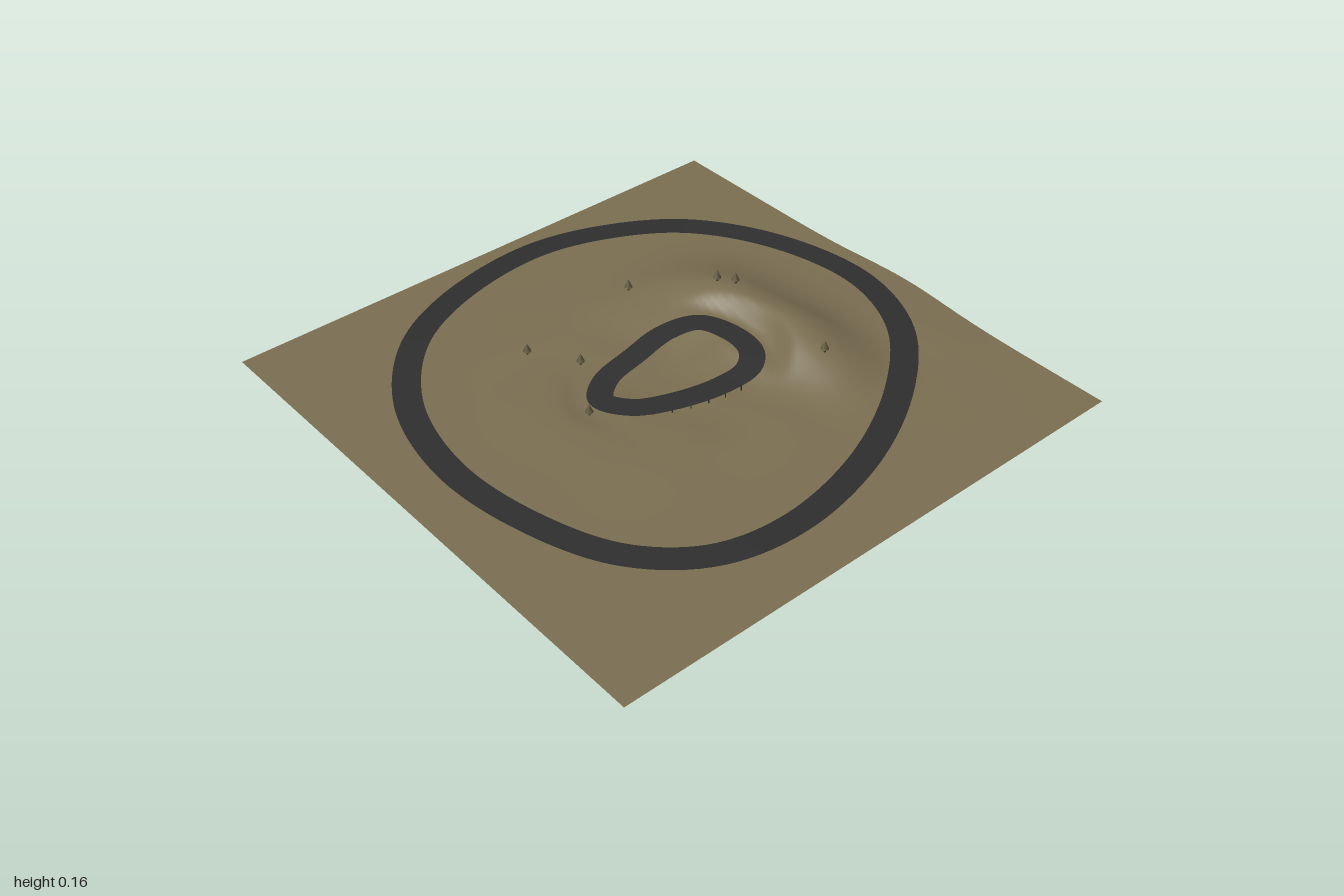
import * as THREE from 'three';

const mat = (name, color, side = THREE.FrontSide) => {
  const m = new THREE.MeshStandardMaterial({ color, side });
  m.name = name;
  return m;
};

// Closed road centre lines, each point is x, y, z
const loop = (pts) => new THREE.CatmullRomCurve3(pts.map((p) => new THREE.Vector3(...p)), true);
const outerLoop = loop([
  [0.08, 0.073, -0.84], [-0.32, 0.1, -0.75], [-0.58, 0.11, -0.6], [-0.76, 0.1, -0.36],
  [-0.83, 0.088, -0.05], [-0.8, 0.1, 0.3], [-0.69, 0.113, 0.6], [-0.5, 0.116, 0.77],
  [-0.24, 0.112, 0.82], [0.12, 0.106, 0.75], [0.48, 0.095, 0.56], [0.74, 0.078, 0.31],
  [0.855, 0.06, 0], [0.8, 0.05, -0.36], [0.63, 0.046, -0.64], [0.38, 0.053, -0.79],
]);
const innerLoop = loop([
  [-0.235, 0.035, -0.06], [-0.19, 0.042, 0.04], [-0.08, 0.052, 0.11], [0.08, 0.06, 0.155],
  [0.2, 0.07, 0.155], [0.265, 0.078, 0.1], [0.28, 0.082, 0], [0.24, 0.078, -0.13],
  [0.13, 0.068, -0.17], [-0.02, 0.052, -0.155], [-0.16, 0.038, -0.13],
]);
const innerSamples = innerLoop.getPoints(90);

// Hills and hollows: x, z, height, spread left, spread right, spread in z
const hills = [
  [0.42, 0.15, 0.11, 0.11, 0.13, 0.17],
  [0.42, -0.2, 0.075, 0.13, 0.12, 0.15],
  [0.42, 0.38, 0.018, 0.1, 0.1, 0.08],
  [0.2, -0.4, 0.028, 0.16, 0.15, 0.1],
  [0.15, 0.02, 0.014, 0.05, 0.08, 0.06],
  [-0.05, -0.06, -0.016, 0.12, 0.12, 0.07],
  [-0.3, 0.3, 0.01, 0.15, 0.15, 0.12],
  [-0.42, -0.1, 0.009, 0.1, 0.12, 0.15],
  [-0.2, -0.42, 0.009, 0.15, 0.15, 0.08],
  [0.1, 0.42, 0.016, 0.14, 0.15, 0.08],
  [0.82, 0.3, 0.012, 0.1, 0.1, 0.16],
];

function groundHeight(x, z) {
  let y = 0.03;
  for (const [cx, cz, h, left, right, sz] of hills) {
    const sx = x < cx ? left : right;
    y += h * Math.exp(-0.5 * (((x - cx) / sx) ** 2 + ((z - cz) / sz) ** 2));
  }
  // Eroded ripples on the high ground
  const r = Math.hypot(x - 0.1, z);
  y += 0.004 * Math.sin(19 * x + 6 * z) * Math.sin(15 * z - 7 * x) * Math.exp(-((r / 0.42) ** 4));
  // Keep the ground below the inner road
  let best = Infinity, roadY = 0;
  for (const p of innerSamples) {
    const d = Math.hypot(p.x - x, p.z - z);
    if (d < best) { best = d; roadY = p.y; }
  }
  const w = 1 - THREE.MathUtils.smoothstep(best, 0.065, 0.14);
  return THREE.MathUtils.lerp(y, Math.min(y, roadY - 0.01), w);
}

function terrainGeometry() {
  const g = new THREE.PlaneGeometry(1.975, 1.97, 110, 110);
  g.rotateX(-Math.PI / 2).translate(-0.0125, 0, -0.005);
  const p = g.attributes.position;
  for (let i = 0; i < p.count; i++) {
    const x = p.getX(i), z = p.getZ(i);
    // Slight outward bulge of the right-hand edge
    const bulge = 0.025 * Math.exp(-(((z - 0.08) / 0.25) ** 2)) * THREE.MathUtils.smoothstep(x, 0.85, 0.975);
    p.setXYZ(i, x + bulge, groundHeight(x, z), z);
  }
  g.computeVertexNormals();
  return g;
}

// Flat ribbon of constant width along a closed curve
function roadGeometry(curve, width, n = 160) {
  const pos = [], index = [];
  for (let i = 0; i <= n; i++) {
    const c = curve.getPointAt((i % n) / n), t = curve.getTangentAt((i % n) / n);
    const side = new THREE.Vector3(t.z, 0, -t.x).normalize().multiplyScalar(width / 2);
    pos.push(c.x - side.x, c.y, c.z - side.z, c.x + side.x, c.y, c.z + side.z);
    const a = 2 * i;
    if (i < n) index.push(a, a + 1, a + 2, a + 1, a + 3, a + 2);
  }
  const g = new THREE.BufferGeometry();
  g.setAttribute('position', new THREE.Float32BufferAttribute(pos, 3));
  g.setIndex(index);
  g.computeVertexNormals();
  // Make the surface face upwards
  if (g.attributes.normal.getY(0) < 0) {
    g.setIndex(index.reverse());
    g.computeVertexNormals();
  }
  return g;
}

export function createModel() {
  const model = new THREE.Group();
  model.name = 'trackLandscape';
  const earth = mat('earth', 0x796d50, THREE.DoubleSide);
  const asphalt = mat('asphalt', 0x2e2e2e, THREE.DoubleSide);
  const foliage = mat('foliage', 0x5a5238);
  const bark = mat('bark', 0x4a3c28);

  const add = (parent, name, geometry, material, x = 0, y = 0, z = 0) => {
    const m = new THREE.Mesh(geometry, material);
    m.name = name;
    m.position.set(x, y, z);
    parent.add(m);
    return m;
  };

  add(model, 'terrain', terrainGeometry(), earth);
  add(model, 'outerRoad', roadGeometry(outerLoop, 0.092), asphalt);
  add(model, 'innerRoad', roadGeometry(innerLoop, 0.086), asphalt);

  // Thin posts under the front of the inner road
  const posts = new THREE.Group();
  posts.name = 'roadPosts';
  model.add(posts);
  for (let i = 0; i < 7; i++) {
    const c = innerLoop.getPointAt(0.07 + i * 0.045);
    add(posts, 'roadPost', new THREE.CylinderGeometry(0.002, 0.002, c.y, 6), asphalt, c.x, c.y / 2 - 0.0005, c.z + 0.03);
  }

  // Small conifers
  const crown = new THREE.ConeGeometry(0.014, 0.03, 10);
  const trunk = new THREE.CylinderGeometry(0.004, 0.004, 0.016, 8);
  const spots = [[-0.27, -0.405], [-0.165, -0.255], [0.2, -0.45], [0.415, -0.235],
    [0.445, -0.175], [-0.305, -0.035], [0.405, 0.295]];
  for (const [x, z] of spots) {
    const tree = new THREE.Group();
    tree.name = 'tree';
    tree.position.set(x, groundHeight(x, z), z);
    add(tree, 'trunk', trunk, bark, 0, 0.006, 0);
    add(tree, 'crown', crown, foliage, 0, 0.028, 0);
    model.add(tree);
  }
  return model;
}
